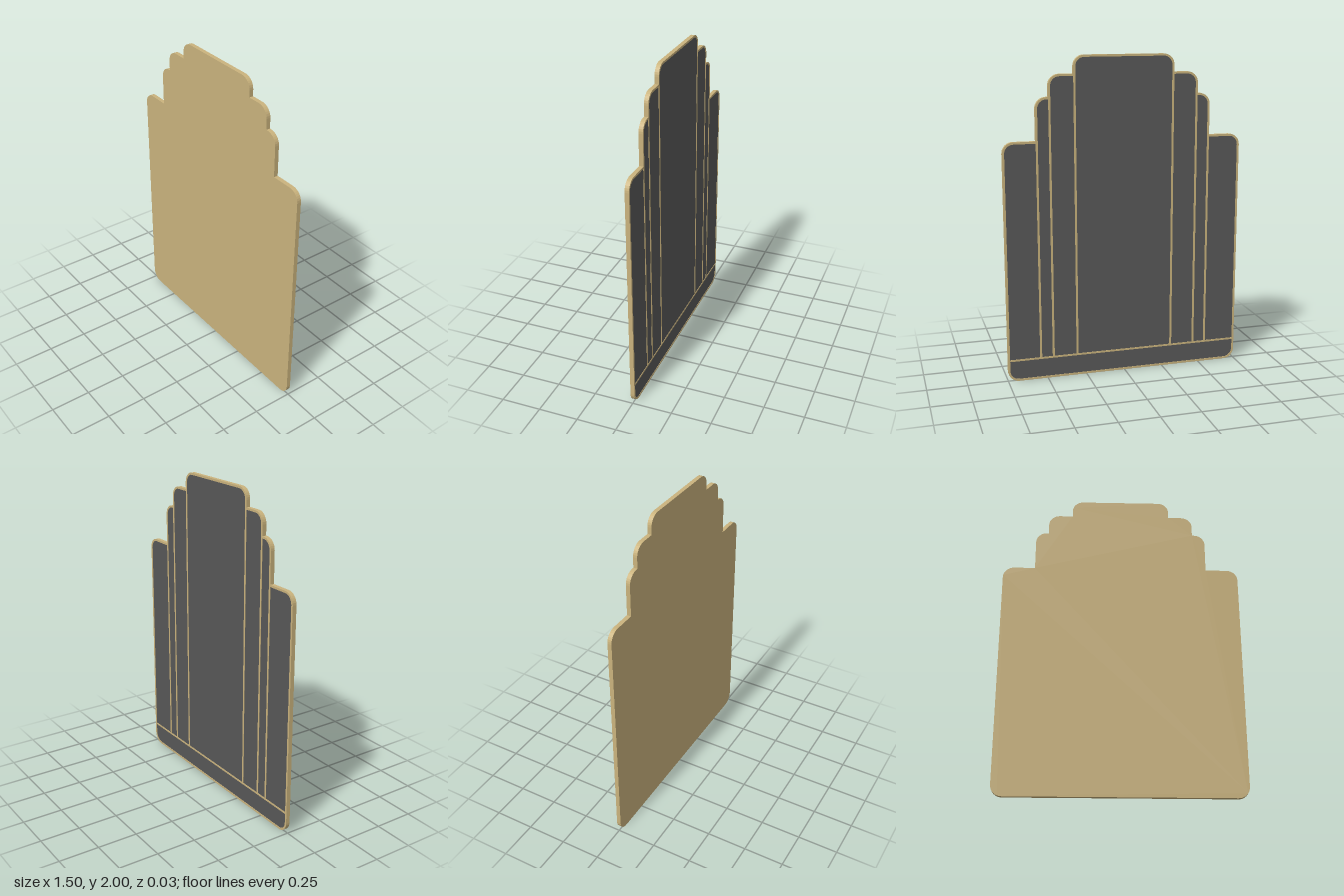
import * as THREE from 'three';

const RIM = 0.013, BACK = -0.013, FLOOR = -0.009, FRONT = 0.013, R = 0.068;
const FOOT = 0.135; // height of the base strip

// Stepped columns, inner to outer: [half width, top]
const STEPS = [[0.315, 2], [0.468, 1.89], [0.548, 1.757], [0.75, 1.497]];

// Closed outline from corners [x, y, radius]
function rounded(corners, Type = THREE.Shape) {
  const path = new Type();
  const n = corners.length;
  corners.forEach(([x, y, r], i) => {
    const c = new THREE.Vector2(x, y);
    const toward = (q, d) => new THREE.Vector2(q[0], q[1]).sub(c).setLength(d).add(c);
    const prev = corners[(i + n - 1) % n], next = corners[(i + 1) % n];
    const a = r ? toward(prev, r) : c;
    if (i === 0) path.moveTo(a.x, a.y); else path.lineTo(a.x, a.y);
    if (!r) return;
    const b = toward(next, r), h1 = toward(prev, r * 0.448), h2 = toward(next, r * 0.448);
    path.bezierCurveTo(h1.x, h1.y, h2.x, h2.y, b.x, b.y);
  });
  path.closePath();
  return path;
}

function slab(shape, z0, z1) {
  const g = new THREE.ExtrudeGeometry(shape, { depth: z1 - z0, bevelEnabled: false, curveSegments: 8 });
  return g.translate(0, 0, z0);
}

// Silhouette, counter-clockwise from the bottom left
function silhouette() {
  const right = [];
  for (let i = STEPS.length - 1; i >= 0; i--) {
    const [w, top] = STEPS[i];
    if (i < STEPS.length - 1) right.push([w, STEPS[i + 1][1], 0]);
    right.push([w, top, R]);
  }
  const left = right.map(([x, y, r]) => [-x, y, r]).reverse();
  return rounded([[-0.75, 0, R], [0.75, 0, R], ...right, ...left]);
}

// Corner lists of the recessed back panels
function panelCorners() {
  const r = R - RIM, y0 = FOOT + 0.006;
  const list = [];
  STEPS.forEach(([w, top], i) => {
    const x1 = w - RIM, y1 = top - RIM;
    if (i === 0) {
      list.push(['centrePanel', [[-x1, y0, 0], [x1, y0, 0], [x1, y1, r], [-x1, y1, r]]]);
      return;
    }
    const x0 = STEPS[i - 1][0];
    list.push([`leftPanel${i}`, [[x0, y0, 0], [x1, y0, 0], [x1, y1, r], [x0, y1, 0]]]);
    list.push([`rightPanel${i}`, [[-x1, y0, 0], [-x0, y0, 0], [-x0, y1, 0], [-x1, y1, r]]]);
  });
  const x = 0.75 - RIM, top = FOOT - 0.006;
  list.push(['basePanel', [[-x, RIM, r], [x, RIM, r], [x, top, 0], [-x, top, 0]]]);
  return list;
}

export function createModel() {
  const model = new THREE.Group();
  model.name = 'steppedPlaque';
  const tan = new THREE.MeshStandardMaterial({ name: 'tan', color: 0xcab37d });
  const charcoal = new THREE.MeshStandardMaterial({ name: 'charcoal', color: 0x585858 });
  const add = (name, geometry, material) => {
    const mesh = new THREE.Mesh(geometry, material);
    mesh.name = name;
    model.add(mesh);
  };

  // Solid front plate
  add('plate', slab(silhouette(), FLOOR, FRONT), tan);

  // Raised rim and dividers on the back
  const panels = panelCorners();
  const frame = silhouette();
  frame.holes = panels.map(([, corners]) => rounded(corners, THREE.Path));
  add('backFrame', slab(frame, BACK, FLOOR), tan);

  // Dark panels set inside the frame
  for (const [name, corners] of panels) {
    add(name, slab(rounded(corners), FLOOR - 0.002, FLOOR), charcoal);
  }
  return model;
}
